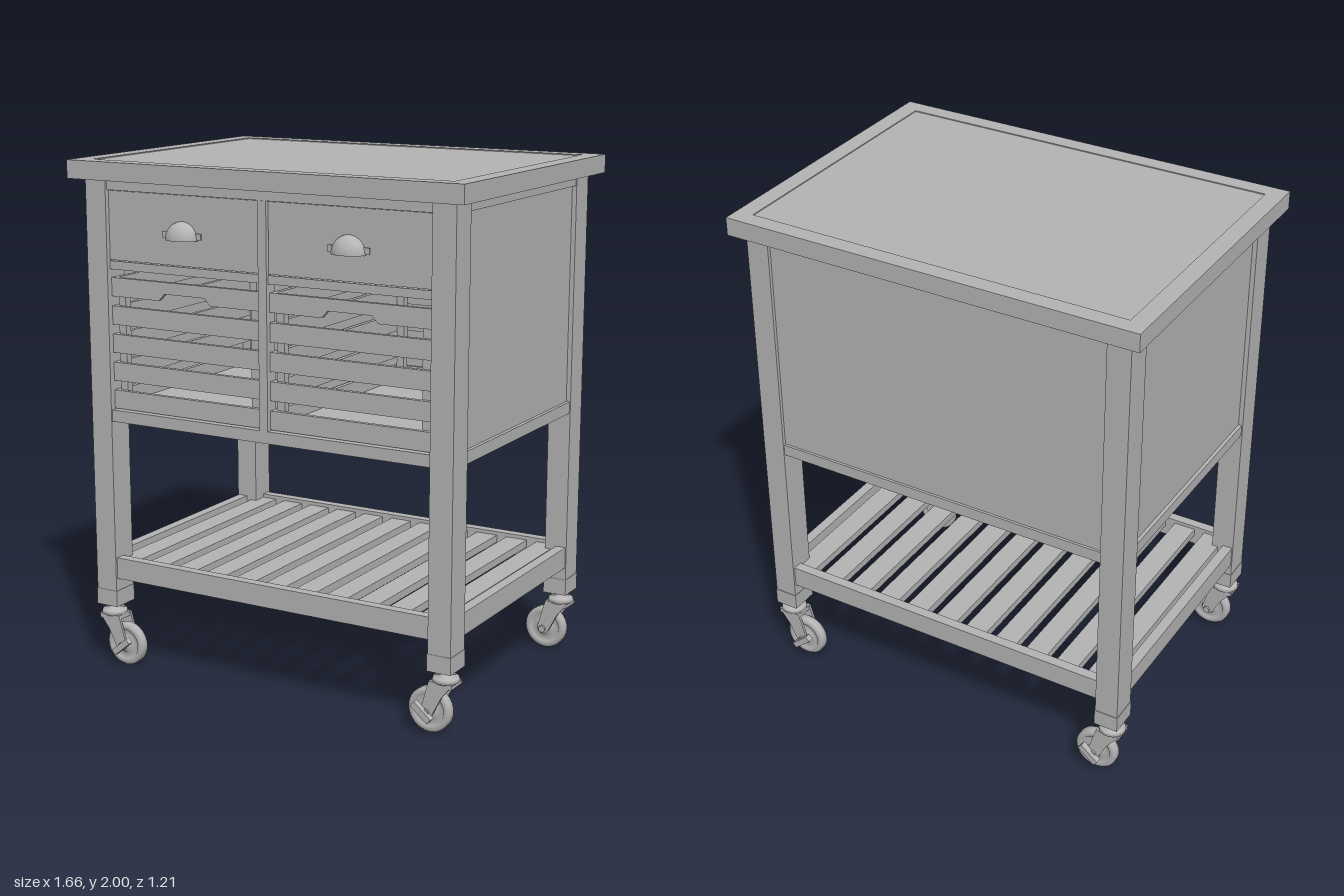
import * as THREE from 'three';

// One colour; double-sided because the cup pulls are open shells
const grey = new THREE.MeshStandardMaterial({ color: 0xb4b4b4, side: THREE.DoubleSide });
grey.name = 'grey paint';

function add(parent, name, geometry) {
  const mesh = new THREE.Mesh(geometry, grey);
  mesh.name = name;
  parent.add(mesh);
  return mesh;
}

// Box given by its limits on each axis
function box(parent, name, x0, x1, y0, y1, z0, z1) {
  const mesh = add(parent, name, new THREE.BoxGeometry(x1 - x0, y1 - y0, z1 - z0));
  mesh.position.set((x0 + x1) / 2, (y0 + y1) / 2, (z0 + z1) / 2);
  return mesh;
}

function polygon(points) {
  return new THREE.Shape(points.map(([x, y]) => new THREE.Vector2(x, y)));
}

function extrude(parent, name, shape, depth, z) {
  const mesh = add(parent, name, new THREE.ExtrudeGeometry(shape, { depth, bevelEnabled: false, curveSegments: 12 }));
  mesh.position.z = z;
  return mesh;
}

// Swivel caster, stem on the origin, wheel trailing towards -x, brake on +z
function makeCaster() {
  const caster = new THREE.Group();
  caster.name = 'caster';
  const wheelX = -0.06, wheelY = 0.087;

  const swivel = [[0, 0.25], [0.02, 0.25], [0.02, 0.228], [0.048, 0.222], [0.052, 0.208], [0.038, 0.198], [0, 0.198]];
  add(caster, 'swivel', new THREE.LatheGeometry(swivel.map(([r, y]) => new THREE.Vector2(r, y)).reverse(), 24));

  const tyre = [[0.012, -0.024], [0.03, -0.024], [0.034, -0.014], [0.058, -0.014], [0.062, -0.021], [0.078, -0.021],
    [0.086, -0.012], [0.086, 0.012], [0.078, 0.021], [0.062, 0.021], [0.058, 0.014], [0.034, 0.014], [0.03, 0.024], [0.012, 0.024]];
  const wheel = add(caster, 'wheel', new THREE.LatheGeometry(tyre.map(([r, y]) => new THREE.Vector2(r, y)), 32));
  wheel.rotation.x = Math.PI / 2;
  wheel.position.set(wheelX, wheelY, 0);

  const axle = add(caster, 'axle', new THREE.CylinderGeometry(0.014, 0.014, 0.1, 16));
  axle.rotation.x = Math.PI / 2;
  axle.position.set(wheelX, wheelY, 0);

  const cheek = polygon([[0.045, 0.208], [-0.05, 0.208], [-0.082, 0.095], [-0.072, 0.07], [-0.05, 0.068], [-0.035, 0.08], [0.0, 0.15]]);
  for (const z of [-0.042, 0.032]) extrude(caster, 'forkCheek', cheek, 0.01, z);
  box(caster, 'forkCrown', -0.05, 0.042, 0.19, 0.208, -0.042, 0.042);

  const lever = box(caster, 'brakeLever', -0.045, 0.045, -0.012, 0.012, 0.04, 0.066);
  lever.position.x = -0.07;
  lever.position.y = 0.09;
  lever.rotation.z = -0.7;
  return caster;
}

// Slatted crate centred on x, with a finger notch in its top front slat
function makeCrate(x0, x1) {
  const crate = new THREE.Group();
  crate.name = 'crate';
  const mid = (x0 + x1) / 2, back = -0.44, front = 0.54, t = 0.018;
  for (let i = 0; i < 5; i++) {
    const y0 = 1.05 + i * 0.109, y1 = y0 + 0.072;
    if (i < 4) box(crate, 'frontSlat', x0, x1, y0, y1, front - t, front);
    else {
      const notched = polygon([[x0, y0], [mid - 0.115, y0], [mid - 0.09, y0 + 0.027], [mid + 0.09, y0 + 0.027],
        [mid + 0.115, y0], [x1, y0], [x1, y1], [x0, y1]]);
      extrude(crate, 'notchedFrontSlat', notched, t, front - t);
    }
    box(crate, 'backSlat', x0, x1, y0, y1, back, back + t);
    box(crate, 'sideSlat', x0, x0 + t, y0, y1, back + t, front - t);
    box(crate, 'sideSlat', x1 - t, x1, y0, y1, back + t, front - t);
  }
  for (const z of [front - t - 0.03, back + t]) {
    box(crate, 'cornerPost', x0 + t, x0 + 0.05, 1.05, 1.54, z, z + 0.03);
    box(crate, 'cornerPost', x1 - 0.05, x1 - t, 1.05, 1.54, z, z + 0.03);
  }
  box(crate, 'crateFloor', x0 + t, x1 - t, 1.052, 1.066, back + t, front - t);
  return crate;
}

// Drawer with a cup pull
function makeDrawer(x0, x1) {
  const drawer = new THREE.Group();
  drawer.name = 'drawer';
  const mid = (x0 + x1) / 2, face = 0.545;
  box(drawer, 'drawerFront', x0, x1, 1.626, 1.888, face - 0.025, face);
  box(drawer, 'drawerBody', x0 + 0.02, x1 - 0.02, 1.64, 1.86, -0.42, face - 0.025);
  const cup = add(drawer, 'cupPull', new THREE.SphereGeometry(1, 24, 10, 0, Math.PI, 0, Math.PI / 2));
  cup.scale.set(0.068, 0.068, 0.053);
  cup.position.set(mid, 1.724, face);
  box(drawer, 'pullFlange', mid - 0.085, mid + 0.085, 1.728, 1.752, face, face + 0.006);
  return drawer;
}

export function createModel() {
  const cart = new THREE.Group();
  cart.name = 'kitchenCart';

  // Worktop: rim with a slightly sunken panel
  const rim = polygon([[-0.83, -0.607], [0.83, -0.607], [0.83, 0.607], [-0.83, 0.607]]);
  rim.holes.push(polygon([[-0.76, -0.54], [-0.76, 0.54], [0.76, 0.54], [0.76, -0.54]]));
  const top = extrude(cart, 'worktopRim', rim, 0.07, 0);
  top.rotation.x = -Math.PI / 2;
  top.position.y = 1.93;
  box(cart, 'worktopPanel', -0.76, 0.76, 1.93, 1.996, -0.54, 0.54);

  // Legs, foot caps and casters
  for (const sx of [-1, 1]) {
    for (const sz of [-1, 1]) {
      const leg = box(cart, 'leg', -0.046, 0.046, 0.315, 1.93, -0.055, 0.055);
      leg.position.x = sx * 0.734;
      leg.position.z = sz * 0.507;
      const foot = box(cart, 'footCap', -0.048, 0.048, 0.25, 0.315, -0.057, 0.057);
      foot.position.x = sx * 0.734;
      foot.position.z = sz * 0.507;
      const caster = makeCaster();
      caster.position.set(sx * 0.738, 0, sz * 0.51);
      caster.scale.set(sx, 1, sz);
      cart.add(caster);
    }
  }

  // Cabinet sides and lower side rails
  for (const s of [-1, 1]) {
    const side = new THREE.Group();
    side.name = s > 0 ? 'leftSide' : 'rightSide';
    const span = (name, a, b, y0, y1) =>
      box(side, name, Math.min(s * a, s * b), Math.max(s * a, s * b), y0, y1, -0.455, 0.455);
    span('sidePanel', 0.745, 0.762, 1.045, 1.89);
    span('topSideRail', 0.735, 0.776, 1.89, 1.93);
    span('bottomSideRail', 0.735, 0.776, 1.0, 1.046);
    span('shelfSideRail', 0.735, 0.776, 0.365, 0.45);
    cart.add(side);
  }

  // Cabinet back, floor and front frame
  box(cart, 'backPanel', -0.69, 0.69, 1.04, 1.9, -0.548, -0.53);
  box(cart, 'topBackRail', -0.69, 0.69, 1.9, 1.93, -0.558, -0.52);
  box(cart, 'bottomBackRail', -0.69, 0.69, 1.0, 1.045, -0.558, -0.52);
  box(cart, 'cabinetFloor', -0.74, 0.74, 1.003, 1.04, -0.525, 0.525);
  box(cart, 'topFrontRail', -0.69, 0.69, 1.89, 1.93, 0.5, 0.552);
  box(cart, 'bottomFrontRail', -0.69, 0.69, 1.0, 1.046, 0.5, 0.556);
  box(cart, 'middleFrontRail', -0.69, 0.69, 1.59, 1.622, 0.5, 0.545);
  box(cart, 'drawerDeck', -0.69, 0.69, 1.6, 1.62, -0.525, 0.5);
  box(cart, 'frontDivider', -0.018, 0.018, 1.046, 1.89, 0.5, 0.556);
  box(cart, 'innerDivider', -0.012, 0.012, 1.04, 1.89, -0.525, 0.5);

  // Drawers and crates, one pair per bay
  for (const [x0, x1] of [[-0.686, -0.021], [0.021, 0.686]]) {
    cart.add(makeDrawer(x0, x1), makeCrate(x0, x1));
  }

  // Slatted bottom shelf
  for (const s of [-1, 1]) {
    const rail = box(cart, s > 0 ? 'shelfFrontRail' : 'shelfBackRail', -0.69, 0.69, 0.365, 0.45, -0.02, 0.02);
    rail.position.z = s * 0.533;
  }
  const count = 11, pitch = 1.47 / count;
  for (let i = 0; i < count; i++) {
    const x = (i - (count - 1) / 2) * pitch;
    box(cart, 'shelfSlat', x - 0.045, x + 0.045, 0.405, 0.435, -0.515, 0.515);
  }
  return cart;
}
